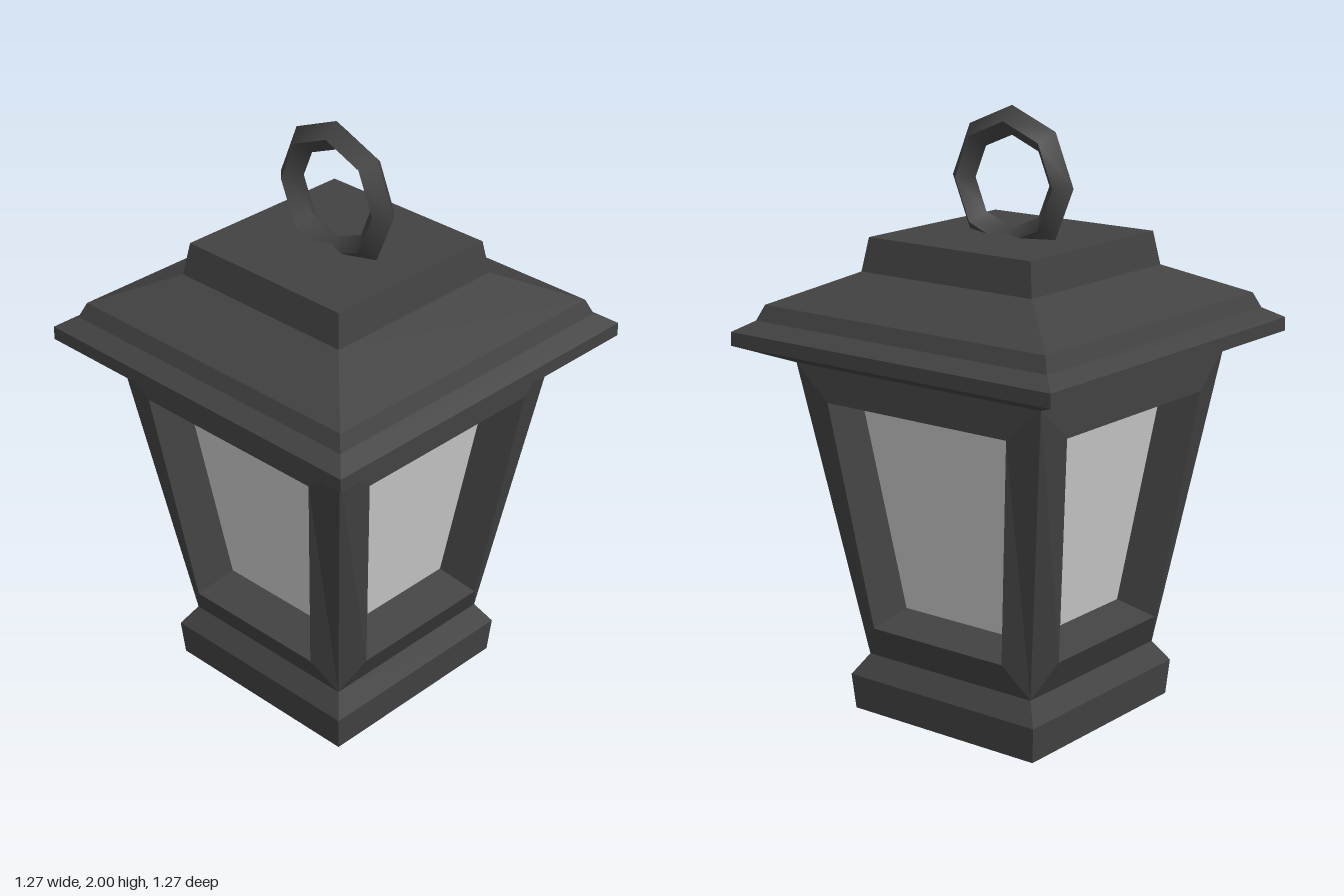
import * as THREE from 'three';
import { toCreasedNormals } from 'three/addons/utils/BufferGeometryUtils.js';

const metal = new THREE.MeshStandardMaterial({ color: 0x424242, flatShading: true });
const ringMetal = new THREE.MeshStandardMaterial({ color: 0x424242 });
const glass = new THREE.MeshStandardMaterial({ color: 0xcccccc, flatShading: true });

function mesh(name, geometry, material) {
  const m = new THREE.Mesh(geometry, material);
  m.name = name;
  return m;
}

// Square solid from [half width, height] pairs, listed bottom to top
function squareSolid(profile) {
  const points = profile.map(([w, y]) => new THREE.Vector2(w * Math.SQRT2, y));
  return new THREE.LatheGeometry(points, 4, Math.PI / 4);
}

// Trapezoid loop, counter-clockwise from the bottom left
function trapezoid(bottom, top) {
  const [wb, yb, zb] = bottom;
  const [wt, yt, zt] = top;
  return [[-wb, yb, zb], [wb, yb, zb], [wt, yt, zt], [-wt, yt, zt]];
}

// Geometry from four-cornered faces
function quads(faces) {
  const positions = [];
  for (const [a, b, c, d] of faces) positions.push(...a, ...b, ...c, ...a, ...c, ...d);
  const g = new THREE.BufferGeometry();
  g.setAttribute('position', new THREE.Float32BufferAttribute(positions, 3));
  g.computeVertexNormals();
  return g;
}

// Strip of faces between an outer and an inner loop
function strip(outer, inner) {
  return outer.map((p, i) => {
    const j = (i + 1) % outer.length;
    return [p, outer[j], inner[j], inner[i]];
  });
}

export function createModel() {
  const group = new THREE.Group();
  group.name = 'lantern';

  group.add(mesh('base', squareSolid([
    [0, 0], [0.37, 0], [0.38, 0.12], [0.335, 0.19], [0, 0.19],
  ]), metal));

  // Four sides: raised frame, deep window reveal and pane
  const corners = trapezoid([0.335, 0.19, 0.335], [0.49, 1.19, 0.49]);
  const opening = trapezoid([0.265, 0.31, 0.393], [0.36, 1.077, 0.49]);
  const pane = trapezoid([0.243, 0.347, 0.255], [0.333, 1.062, 0.355]);
  const frameGeometry = quads([...strip(corners, opening), ...strip(opening, pane)]);
  const paneGeometry = quads([pane]);
  for (let i = 0; i < 4; i++) {
    const side = new THREE.Group();
    side.name = 'side' + (i + 1);
    side.add(mesh('windowFrame', frameGeometry, metal), mesh('windowPane', paneGeometry, glass));
    side.rotation.y = i * Math.PI / 2;
    group.add(side);
  }

  // Stepped roof with a flat cap
  group.add(mesh('roof', squareSolid([
    [0, 1.19], [0.49, 1.19], [0.635, 1.25], [0.635, 1.295], [0.578, 1.33],
    [0.557, 1.38], [0.34, 1.48], [0.322, 1.59], [0, 1.59],
  ]), metal));

  // Eight-sided carrying ring with a diamond section
  const ring = new THREE.TorusGeometry(0.195, 0.047, 4, 8);
  const handle = mesh('carryingRing', toCreasedNormals(ring, Math.PI / 3), ringMetal);
  handle.position.y = 1.758;
  group.add(handle);

  return group;
}
